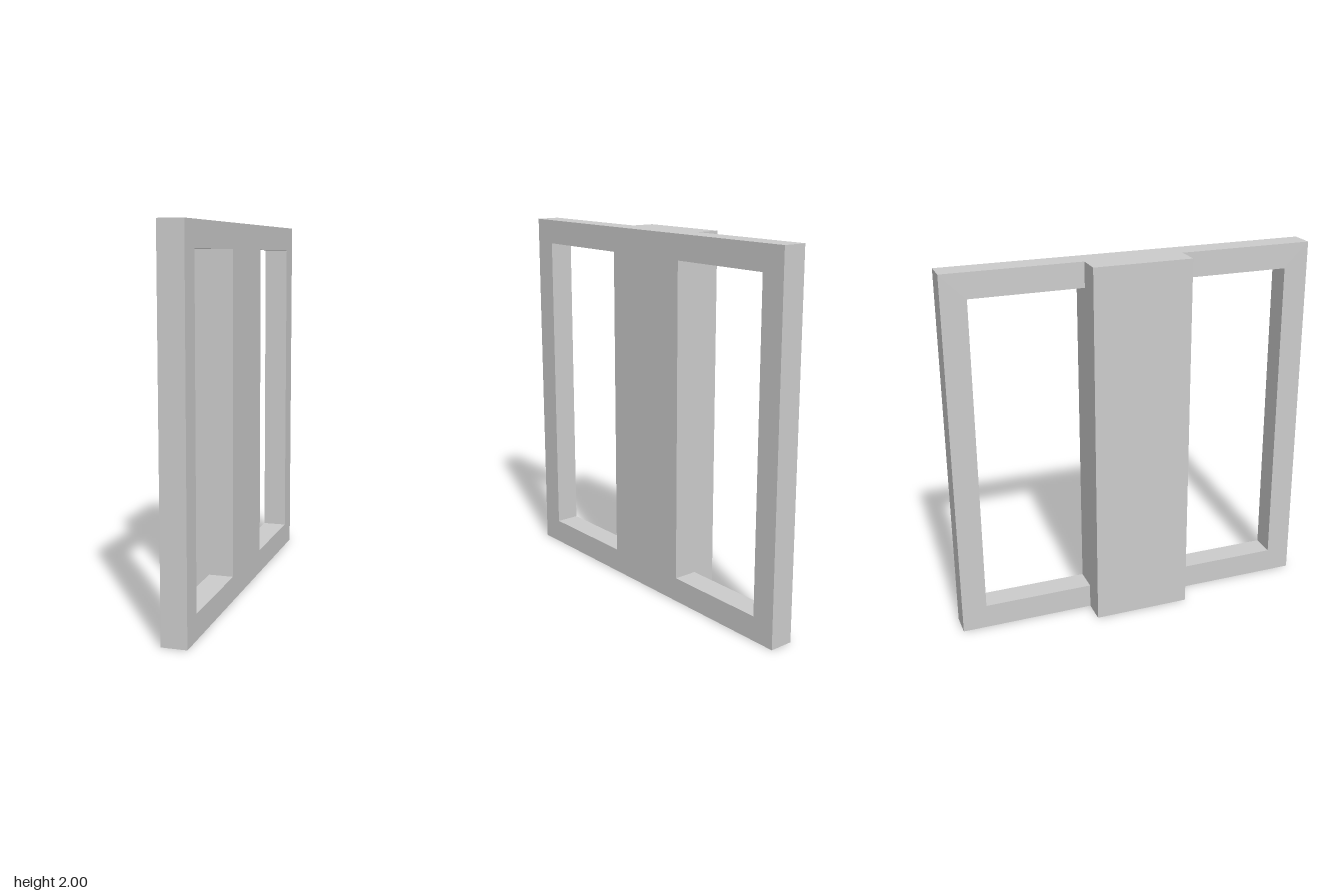
import * as THREE from 'three';

const WIDTH = 2, HEIGHT = 2, THICK = 0.134, BORDER = 0.134;
const POST_HALF = 0.266, POST_DEPTH = 0.134;

function rectangle(path, x0, y0, x1, y1) {
  path.moveTo(x0, y0);
  path.lineTo(x1, y0);
  path.lineTo(x1, y1);
  path.lineTo(x0, y1);
  path.closePath();
  return path;
}

export function createModel() {
  const model = new THREE.Group();
  model.name = 'windowWall';
  const grey = new THREE.MeshStandardMaterial({ color: 0xcccccc });
  grey.name = 'light grey';

  // Flat wall with a tall opening on either side of the centre
  const outline = rectangle(new THREE.Shape(), -WIDTH / 2, 0, WIDTH / 2, HEIGHT);
  for (const side of [-1, 1]) {
    const a = side * POST_HALF, b = side * (WIDTH / 2 - BORDER);
    outline.holes.push(rectangle(new THREE.Path(),
      Math.min(a, b), BORDER, Math.max(a, b), HEIGHT - BORDER));
  }
  const wallGeometry = new THREE.ExtrudeGeometry(outline, { depth: THICK, bevelEnabled: false });
  wallGeometry.translate(0, 0, -THICK / 2);
  const wall = new THREE.Mesh(wallGeometry, grey);
  wall.name = 'wallFrame';
  model.add(wall);

  // Full-height pier projecting from the back of the centre
  const pier = new THREE.Mesh(new THREE.BoxGeometry(POST_HALF * 2, HEIGHT, POST_DEPTH), grey);
  pier.name = 'rearPier';
  pier.position.set(0, HEIGHT / 2, -(THICK + POST_DEPTH) / 2);
  model.add(pier);

  // The wall stands at an angle to the axes
  model.rotation.y = THREE.MathUtils.degToRad(53);
  return model;
}
